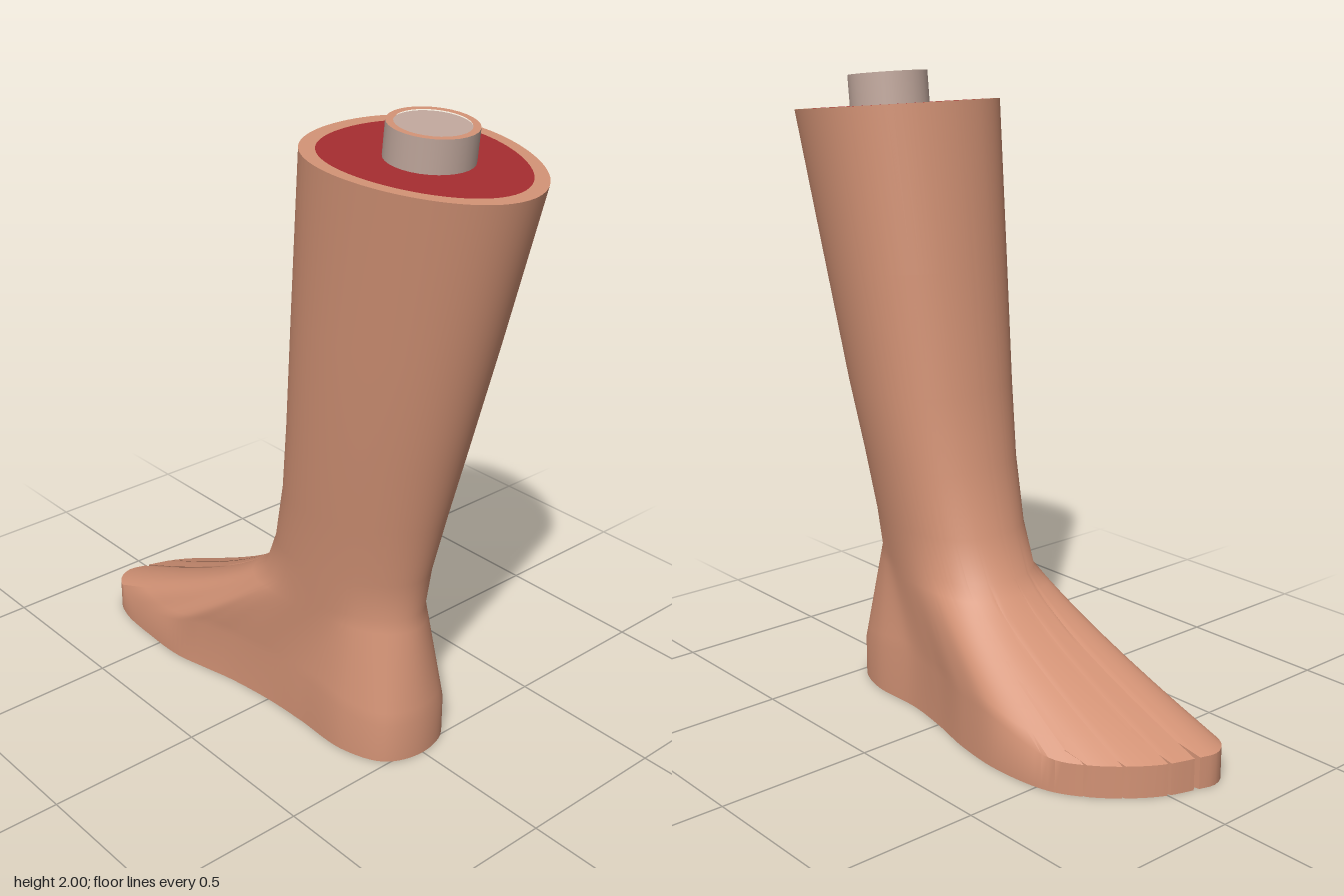
import * as THREE from 'three';
import { toCreasedNormals } from 'three/addons/utils/BufferGeometryUtils.js';

const skin = new THREE.MeshStandardMaterial({ color: 0xd29275 });
skin.name = 'skin';
const flesh = new THREE.MeshStandardMaterial({ color: 0xa52d30 });
flesh.name = 'flesh red';
const bone = new THREE.MeshStandardMaterial({ color: 0xc1a89d });
bone.name = 'bone grey';

const lerp = THREE.MathUtils.lerp;
const V = (x, y, z) => new THREE.Vector3(x, y, z);

// Footprint, from the heel round the outer side, the toes and the inner side
const FOOTPRINT = [
  [0, 0.53], [0.12, 0.49], [0.18, 0.36], [0.185, 0.15], [0.21, 0], [0.25, -0.17],
  [0.267, -0.35], [0.24, -0.54], [0.18, -0.64], [0.1, -0.72], [0.01, -0.78], [-0.09, -0.815],
  [-0.155, -0.83], [-0.21, -0.8], [-0.245, -0.72], [-0.26, -0.55], [-0.26, -0.4],
  [-0.235, -0.28], [-0.21, -0.17], [-0.188, 0], [-0.182, 0.15], [-0.18, 0.36], [-0.12, 0.49],
];
// Gaps between the toes: mouth x, mouth z, depth, half width
const GAPS = [[0.18, -0.64, 0.07, 0.005], [0.1, -0.72, 0.08, 0.005],
  [0.005, -0.782, 0.1, 0.005], [-0.095, -0.813, 0.11, 0.009]];
// Leg sections: y, front z, back z, half width, tilt
const LEG = [
  [0.47, -0.12, 0.478, 0.193, 0], [0.6, -0.06, 0.495, 0.2, 0], [0.8, -0.01, 0.545, 0.215, 0.01],
  [1.03, 0.03, 0.605, 0.24, 0.02], [1.4, 0.07, 0.705, 0.265, 0.05], [1.89, 0.13, 0.83, 0.302, 0.085],
];
const CUT_TILT = 0.085, CUT_CENTRE = V(0, 1.89, 0.475);

// Footprint samples with a notch for every toe gap; each has its upper edge height and angle
function footOutline() {
  const curve = new THREE.CatmullRomCurve3(FOOTPRINT.map(([x, z]) => V(x, 0, z)), true);
  const samples = curve.getSpacedPoints(144).slice(0, 144);
  const gapAt = new Map();
  for (const gap of GAPS) {
    let best = 0;
    samples.forEach((p, i) => {
      const d = q => Math.hypot(q.x - gap[0], q.z - gap[1]);
      if (d(p) < d(samples[best])) best = i;
    });
    gapAt.set(best, gap);
  }
  const out = [];
  const add = (x, z, rise = 0, ax = x, az = z) => out.push({
    x, z,
    top: 0.1 + 0.07 * THREE.MathUtils.smoothstep(z, -0.6, -0.25)
      - 0.04 * THREE.MathUtils.smoothstep(z, 0.2, 0.5) + rise,
    angle: Math.atan2(ax / 0.25, -(az + 0.15) / 0.68),
  });
  samples.forEach((p, i) => {
    const gap = gapAt.get(i);
    if (!gap) return add(p.x, p.z);
    const [, , depth, half] = gap;
    const dir = samples[i + 1].clone().sub(samples[i - 1]).setLength(half);
    add(p.x + -dir.x, p.z - dir.z);
    add(p.x + 0.015, p.z + depth, 0.34 * depth, p.x, p.z);
    add(p.x + dir.x, p.z + dir.z);
  });
  return out;
}

// Point of an egg-shaped leg section at a given angle (0 is towards the toes)
function legPoint([y, front, back, half, tilt], angle) {
  const r = (back - front) / 2, c = (back + front) / 2, s = Math.sin(angle);
  const z = c - r * Math.cos(angle) - 0.2 * r * s * s;
  return V(half * s, y - tilt * (z - c), z);
}

// Skin stretched over closed rings with equal point counts
function loft(rings) {
  const n = rings[0].length, pos = [], index = [];
  rings.forEach(ring => ring.forEach(p => pos.push(p.x, p.y, p.z)));
  for (let r = 0; r < rings.length - 1; r++) {
    for (let i = 0; i < n; i++) {
      const j = (i + 1) % n, a = r * n, b = a + n;
      index.push(a + i, a + j, b + j, a + i, b + j, b + i);
    }
  }
  const g = new THREE.BufferGeometry();
  g.setAttribute('position', new THREE.Float32BufferAttribute(pos, 3));
  g.setIndex(index);
  return toCreasedNormals(g, 0.8);
}

export function createModel() {
  const model = new THREE.Group();
  model.name = 'severedLeg';
  const add = (name, geometry, material, parent = model) => {
    const mesh = new THREE.Mesh(geometry, material);
    mesh.name = name;
    parent.add(mesh);
    return mesh;
  };

  // Foot wall, instep and shin in one surface
  const outline = footOutline();
  const rings = [outline.map(p => V(p.x, 0, p.z))];
  const insteps = outline.map(p => {
    const edge = V(p.x, p.top, p.z), ankle = legPoint(LEG[0], p.angle);
    const f = Math.max(0, Math.cos(p.angle));
    const control = V(lerp(edge.x, ankle.x, 0.5), lerp(edge.y, ankle.y, 0.5 + 0.07 * f),
      lerp(edge.z, ankle.z, 0.5 + 0.3 * f));
    return new THREE.QuadraticBezierCurve3(edge, control, ankle);
  });
  const steps = 8;
  for (let k = 0; k <= steps; k++) rings.push(insteps.map(c => c.getPoint(k / steps)));
  for (const section of LEG.slice(1)) rings.push(outline.map(p => legPoint(section, p.angle)));
  add('legAndFoot', loft(rings), skin);

  // Sole
  const sole = new THREE.ShapeGeometry(new THREE.Shape(outline.map(p => new THREE.Vector2(p.x, p.z))));
  sole.rotateX(Math.PI / 2);
  add('sole', sole, skin);

  // Cut surface: skin rim around red flesh
  const cutRing = rings[rings.length - 1];
  const shrink = k => cutRing.map(p => CUT_CENTRE.clone().lerp(p, k));
  add('skinRim', loft([cutRing, shrink(0.87)]), skin);
  add('flesh', loft([shrink(0.87), shrink(0.1)]), flesh);

  // Bone stump, square to the cut
  const stump = new THREE.Group();
  stump.name = 'boneStump';
  stump.position.copy(CUT_CENTRE);
  stump.rotation.x = Math.atan(CUT_TILT) * 1.2;
  model.add(stump);
  add('boneShaft', new THREE.CylinderGeometry(0.126, 0.126, 0.11, 32, 1, true), bone, stump).position.y = 0.043;
  const ring = add('boneRim', new THREE.RingGeometry(0.105, 0.126, 32), skin, stump);
  ring.rotation.x = -Math.PI / 2;
  ring.position.y = 0.098;
  const marrow = add('boneCore', new THREE.CircleGeometry(0.107, 32), bone, stump);
  marrow.rotation.x = -Math.PI / 2;
  marrow.position.y = 0.094;
  return model;
}
